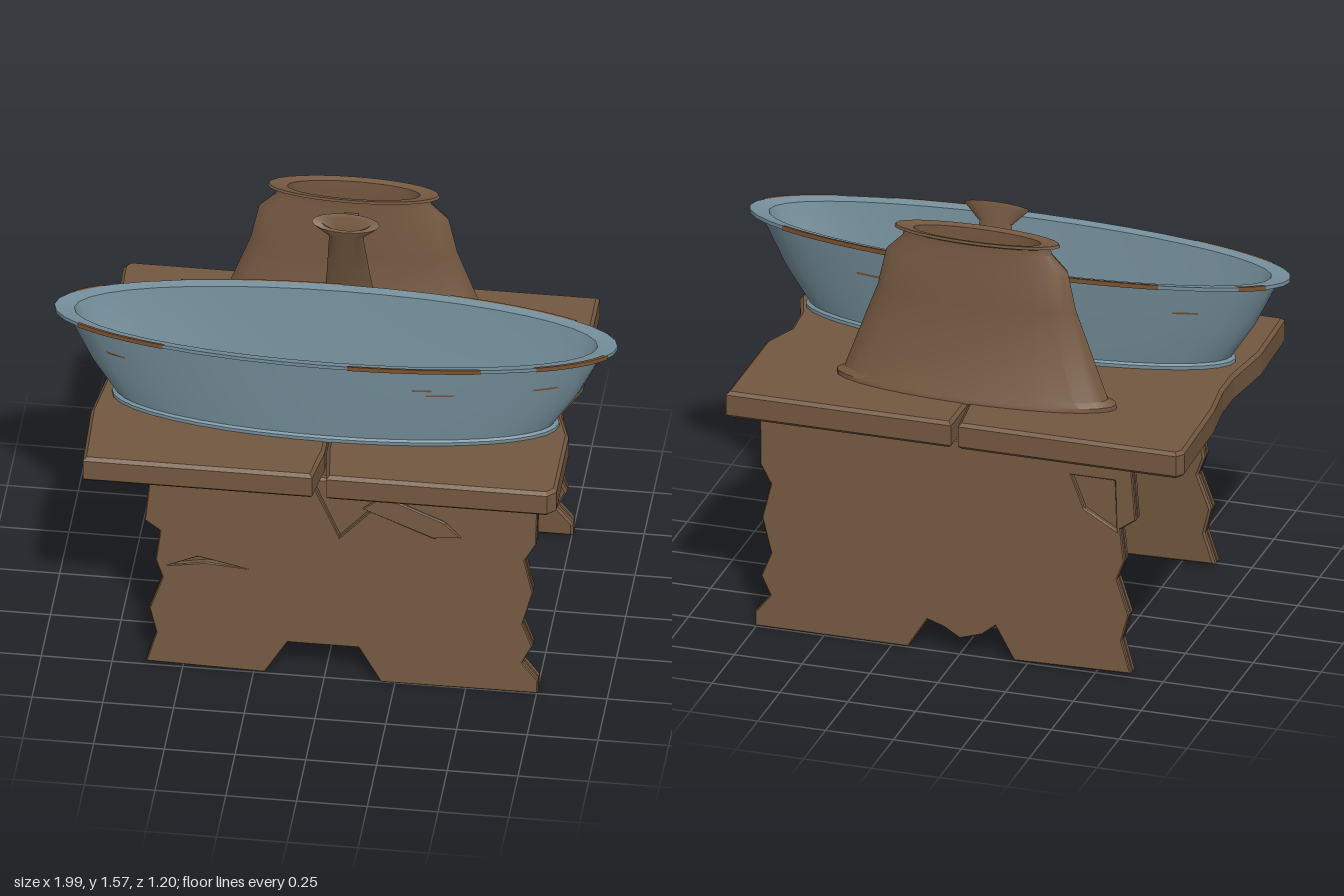
import * as THREE from 'three';
import { toCreasedNormals } from 'three/addons/utils/BufferGeometryUtils.js';

const wood = new THREE.MeshStandardMaterial({ color: 0x735840 });
wood.name = 'brown wood';
const enamel = new THREE.MeshStandardMaterial({ color: 0x748e9a });
enamel.name = 'blue enamel';
const rust = new THREE.MeshStandardMaterial({ color: 0x7a5230, side: THREE.DoubleSide });
rust.name = 'rust';

function add(group, name, geometry, material) {
  const mesh = new THREE.Mesh(geometry, material);
  mesh.name = name;
  group.add(mesh);
  return mesh;
}

// Skin over elliptical sections [y, radiusX, radiusZ, centreZ, tilt]
function loft(sections, segments = 32, t0 = 0, t1 = Math.PI * 2) {
  const pos = [], index = [], n = segments + 1;
  sections.forEach(([y, rx, rz, cz, tilt = 0], i) => {
    for (let j = 0; j < n; j++) {
      const t = t0 + (t1 - t0) * j / segments;
      pos.push(rx * Math.cos(t), y + tilt * Math.sin(t), cz + rz * Math.sin(t));
      if (i && j) {
        const d = i * n + j, c = d - 1, b = d - n, a = b - 1;
        index.push(a, c, b, b, c, d);
      }
    }
  });
  const g = new THREE.BufferGeometry();
  g.setAttribute('position', new THREE.Float32BufferAttribute(pos, 3));
  g.setIndex(index);
  return toCreasedNormals(g, 0.6);
}

// Slab of an outline with a small worn bevel inside the given size
function slab(points, thickness, holes = [], bevel = 0.008) {
  const toVec = ([x, y]) => new THREE.Vector2(x, y);
  const shape = new THREE.Shape(points.map(toVec));
  holes.forEach(h => shape.holes.push(new THREE.Path(h.map(toVec))));
  const g = new THREE.ExtrudeGeometry(shape, {
    depth: thickness - 2 * bevel, bevelEnabled: bevel > 0, bevelThickness: bevel,
    bevelSize: bevel, bevelOffset: -bevel, bevelSegments: 1,
  });
  g.translate(0, 0, bevel);
  return g;
}

// Leans an upright slab so its foot stands further out than its top
function lean(g, zFoot, drift) {
  const p = g.attributes.position;
  for (let i = 0; i < p.count; i++) p.setZ(i, p.getZ(i) + zFoot - drift * p.getY(i) / 0.81);
  g.computeVertexNormals();
  return g;
}

function createTable() {
  const table = new THREE.Group();
  table.name = 'table';

  // Two top boards with chipped outer edges and a split seam
  const boards = {
    rightBoard: [[-0.85, -0.57], [-0.83, -0.6], [-0.025, -0.6], [-0.006, -0.44], [-0.006, 0.44],
      [-0.03, 0.6], [-0.84, 0.6], [-0.85, 0.3], [-0.82, 0.08], [-0.82, -0.04], [-0.84, -0.2]],
    leftBoard: [[0.0, -0.6], [0.83, -0.6], [0.83, -0.15], [0.78, -0.02], [0.79, 0.12],
      [0.83, 0.24], [0.83, 0.57], [0.8, 0.6], [0.02, 0.6], [0.0, 0.44]],
  };
  for (const [name, pts] of Object.entries(boards)) {
    const g = slab(pts.map(([x, z]) => [x, -z]).reverse(), 0.1, [], 0.012);
    g.rotateX(-Math.PI / 2);
    add(table, name, g, wood).position.y = 0.842;
  }

  // Ragged side edges and notched foot shared by both leg panels
  const rightSide = [[0.755, 0.008], [0.755, 0.06], [0.7, 0.13], [0.735, 0.2], [0.7, 0.29],
    [0.735, 0.42], [0.705, 0.55], [0.745, 0.62], [0.75, 0.812]];
  const leftSide = [[-0.62, 0.812], [-0.64, 0.6], [-0.585, 0.56], [-0.6, 0.44], [-0.575, 0.37],
    [-0.62, 0.24], [-0.595, 0.14], [-0.63, 0.02]];
  const frontFoot = [[-0.21, 0.01], [-0.13, 0.14], [0.12, 0.14], [0.2, 0.005]];
  const backFoot = [[-0.2, 0.01], [-0.13, 0.13], [-0.08, 0.09], [0, 0.065], [0.06, 0.1],
    [0.12, 0.12], [0.19, 0.008]];
  const dent = [[0.2, 0.812], [0.17, 0.72], [0.05, 0.59], [-0.05, 0.812]];
  const crack = [[-0.56, 0.42], [-0.45, 0.465], [-0.27, 0.43], [-0.42, 0.445]];
  const chip = [[-0.4, 0.74], [-0.56, 0.74], [-0.57, 0.55], [-0.45, 0.62]];

  // Each panel has a whole core and an outer layer that is dented
  const front = [...frontFoot, ...rightSide, ...leftSide];
  const frontOuter = [...frontFoot, ...rightSide, ...dent, ...leftSide];
  const back = [...backFoot, ...rightSide, ...leftSide];
  add(table, 'frontLegCore', lean(slab(front, 0.034), 0.45, 0.05), wood);
  add(table, 'frontLegFace', lean(slab(frontOuter, 0.024, [crack], 0.004), 0.48, 0.05), wood);
  add(table, 'backLegCore', lean(slab(back, 0.034), -0.484, -0.04), wood);
  add(table, 'backLegFace', lean(slab(back, 0.024, [chip], 0.004), -0.504, -0.04), wood);

  // Loose splinter on the front panel
  const splinter = [[0.13, 0.72], [0.38, 0.62], [0.48, 0.63], [0.42, 0.69], [0.2, 0.78]];
  add(table, 'splinter', lean(slab(splinter, 0.012, [], 0.004), 0.502, 0.05), wood);
  return table;
}

function createTub() {
  const tub = new THREE.Group();
  tub.name = 'tub';

  // Outer wall, rolled rim, inner wall and floor
  add(tub, 'basin', loft([
    [0.94, 0, 0, 0.19], [0.94, 0.79, 0.2, 0.19], [0.955, 0.79, 0.2, 0.19],
    [0.962, 0.775, 0.192, 0.19], [1.1, 0.865, 0.21, 0.186], [1.275, 0.95, 0.228, 0.182],
    [1.283, 0.995, 0.245, 0.182], [1.297, 0.995, 0.245, 0.182], [1.29, 0.925, 0.215, 0.182],
    [1.1, 0.84, 0.196, 0.186], [0.975, 0.745, 0.18, 0.19], [0.97, 0, 0, 0.19],
  ], 40), enamel);

  // Rust along parts of the rim
  const wearRim = [[0.25, 0.75], [1.0, 1.5], [2.2, 2.7], [3.5, 3.7], [4.1, 4.7], [5.1, 5.7]];
  for (const [a, b] of wearRim) {
    add(tub, 'rimRust', loft([[1.282, 0.998, 0.247, 0.182], [1.299, 0.998, 0.247, 0.182],
      [1.299, 0.982, 0.24, 0.182]], 8, a, b), rust);
  }

  // Thin scratches on the outer wall: [angle, half width, height]
  const scratches = [[2.57, 0.07, 1.185], [1.12, 0.06, 1.17], [1.2, 0.04, 1.192], [0.58, 0.08, 1.18],
    [3.9, 0.07, 1.18], [5.3, 0.06, 1.175]];
  for (const [t, w, y] of scratches) {
    const at = h => {
      const k = (h - 1.1) / 0.175;
      return [h, 0.868 + 0.085 * k, 0.213 + 0.018 * k, 0.186 - 0.004 * k];
    };
    add(tub, 'scratch', loft([at(y - 0.004), at(y + 0.004)], 6, t - w, t + w), rust);
  }
  return tub;
}

function createPitcher() {
  const pitcher = new THREE.Group();
  pitcher.name = 'pitcher';

  // Flattened body with shoulder, neck, lip and hollow inside
  add(pitcher, 'pitcherBody', loft([
    [0.94, 0, 0, -0.31], [0.94, 0.515, 0.122, -0.31], [0.958, 0.515, 0.12, -0.31],
    [0.975, 0.485, 0.108, -0.31], [1.3, 0.365, 0.083, -0.307], [1.44, 0.335, 0.072, -0.304],
    [1.5, 0.275, 0.064, -0.302], [1.525, 0.27, 0.064, -0.302], [1.532, 0.305, 0.074, -0.302],
    [1.542, 0.3, 0.072, -0.302], [1.535, 0.235, 0.052, -0.302], [1.47, 0.25, 0.05, -0.302],
    [1.1, 0.38, 0.075, -0.307], [1.0, 0, 0, -0.31],
  ], 28), wood);

  // Slanted spout with a flared, tilted mouth
  add(pitcher, 'spout', loft([
    [1.02, 0, 0, -0.225], [1.06, 0.09, 0.018, -0.215], [1.15, 0.09, 0.022, -0.198],
    [1.3, 0.075, 0.02, -0.15], [1.49, 0.06, 0.018, -0.092, -0.01],
    [1.535, 0.105, 0.022, -0.084, -0.024], [1.55, 0.12, 0.021, -0.08, -0.027],
    [1.545, 0.085, 0.013, -0.081, -0.018], [1.48, 0, 0, -0.095],
  ], 16), wood);

  // Brace between spout and neck
  const brace = add(pitcher, 'spoutBrace', new THREE.BoxGeometry(0.05, 0.012, 0.14), wood);
  brace.position.set(0, 1.472, -0.185);
  brace.rotation.x = 0.1;
  return pitcher;
}

export function createModel() {
  const model = new THREE.Group();
  model.name = 'washstand';
  model.add(createTable(), createTub(), createPitcher());
  return model;
}
